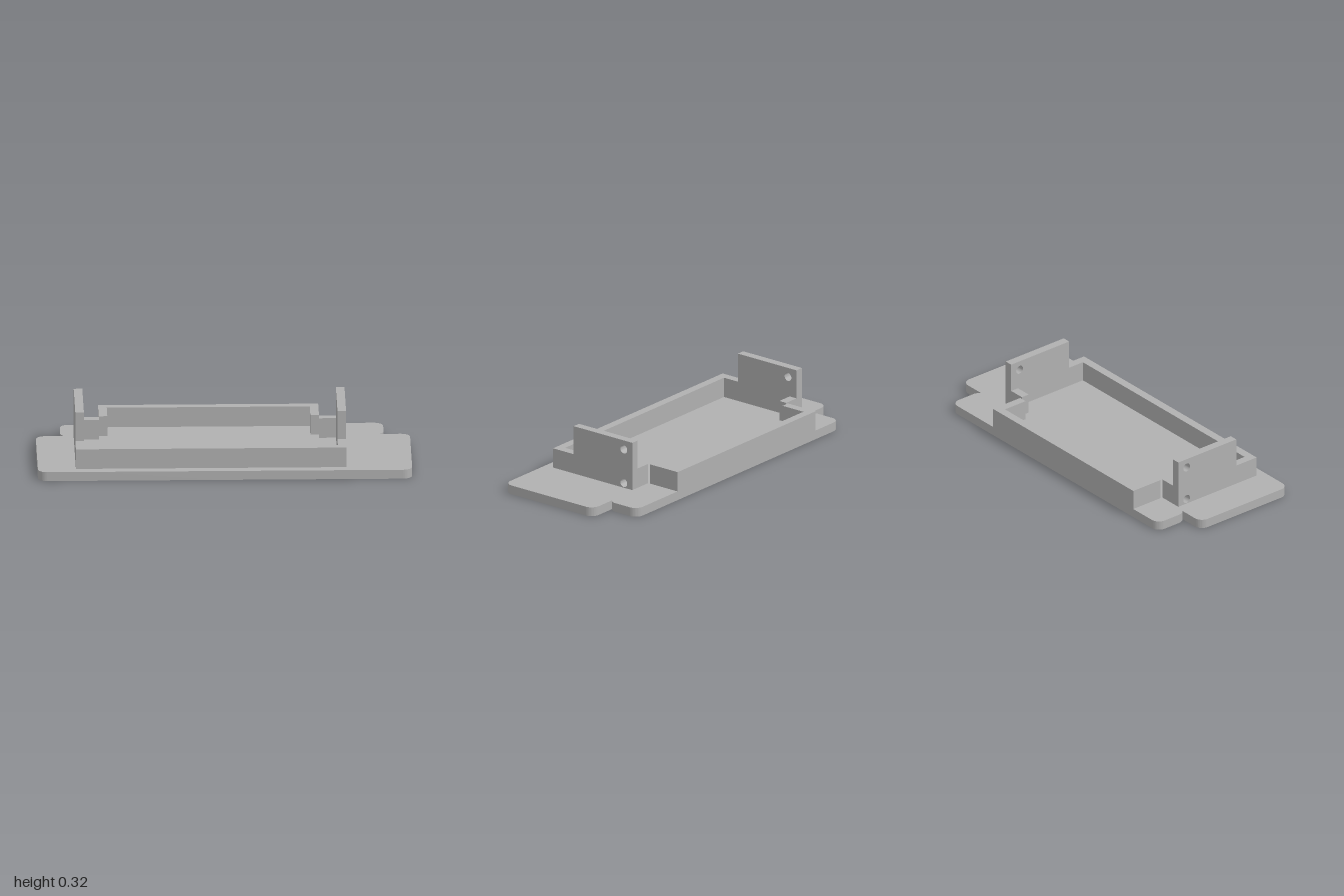
import * as THREE from 'three';
import { toCreasedNormals } from 'three/addons/utils/BufferGeometryUtils.js';

const BASE = 0.05, LOW = 0.16, TALL = 0.32, WALL = 0.046;
const BACK = -0.398, FRONT = 0.346, POST_BACK = -0.197;

export function createModel() {
  const model = new THREE.Group();
  model.name = 'mountingTray';
  const grey = new THREE.MeshStandardMaterial({ color: 0xb0b0b0 });
  grey.name = 'grey';

  const add = (name, geometry) => {
    const mesh = new THREE.Mesh(geometry, grey);
    mesh.name = name;
    model.add(mesh);
    return mesh;
  };
  // Box given by its limits
  const box = (name, x0, x1, y0, y1, z0, z1) =>
    add(name, new THREE.BoxGeometry(x1 - x0, y1 - y0, z1 - z0))
      .position.set((x0 + x1) / 2, (y0 + y1) / 2, (z0 + z1) / 2);
  const extrude = (shape, depth) => toCreasedNormals(
    new THREE.ExtrudeGeometry(shape, { depth, bevelEnabled: false, curveSegments: 12 }), 0.6);

  // Base plate: wide front part and narrower back tab, rounded corners (shape y = -z)
  const r = 0.05, q = Math.PI / 2, step = 0.209;
  const a = Math.asin((step - 0.2 + r - 0.009 * 2) / r);
  const plate = new THREE.Shape();
  const arc = (x, y, from, to) => plate.absarc(x, y, r, from, to, false);
  arc(-1 + r, -0.398 + r, 2 * q, 3 * q);
  arc(1 - r, -0.398 + r, 3 * q, 4 * q);
  arc(1 - r, step - r, 0, q);
  arc(0.86 - r, 0.2 + r, -a, 0);
  arc(0.86 - r, -BACK - r, 0, q);
  arc(-0.868 + r, -BACK - r, q, 2 * q);
  arc(-0.868 + r, 0.2 + r, 2 * q, 2 * q + a);
  arc(-1 + r, step - r, q, 2 * q);
  plate.closePath();
  add('basePlate', extrude(plate, BASE).rotateX(-q));

  // Stepped side panel with two round holes (shape x = z)
  const panel = new THREE.Shape([
    [POST_BACK, BASE], [FRONT, BASE], [FRONT, LOW], [0.205, LOW], [0.205, TALL], [POST_BACK, TALL],
  ].map(([z, y]) => new THREE.Vector2(z, y)));
  for (const y of [0.077, 0.269]) {
    panel.holes.push(new THREE.Path().absarc(-0.139, y, 0.0235, 0, Math.PI * 2, true));
  }

  const left = 0.65, right = -0.797;
  const backLeft = 0.514, backRight = -0.663;
  add('leftPanel', extrude(panel, WALL).rotateY(-q)).position.x = left;
  add('rightPanel', extrude(panel, WALL).rotateY(-q)).position.x = right + WALL;

  // Low front wall between the panels
  box('frontWall', right + WALL, left - WALL, BASE, LOW, FRONT - WALL, FRONT);

  // Short returns behind the panels
  box('leftReturn', backLeft, left - WALL, BASE, LOW, POST_BACK, -0.15);
  box('rightReturn', right + WALL, backRight, BASE, LOW, POST_BACK, -0.15);

  // Narrower back tray: back wall and its two sides
  box('backWall', backRight, backLeft, BASE, LOW, BACK, BACK + WALL);
  box('backLeftWall', backLeft - WALL, backLeft, BASE, LOW, BACK + WALL, -0.209);
  box('backRightWall', backRight, backRight + WALL, BASE, LOW, BACK + WALL, -0.209);

  return model;
}
